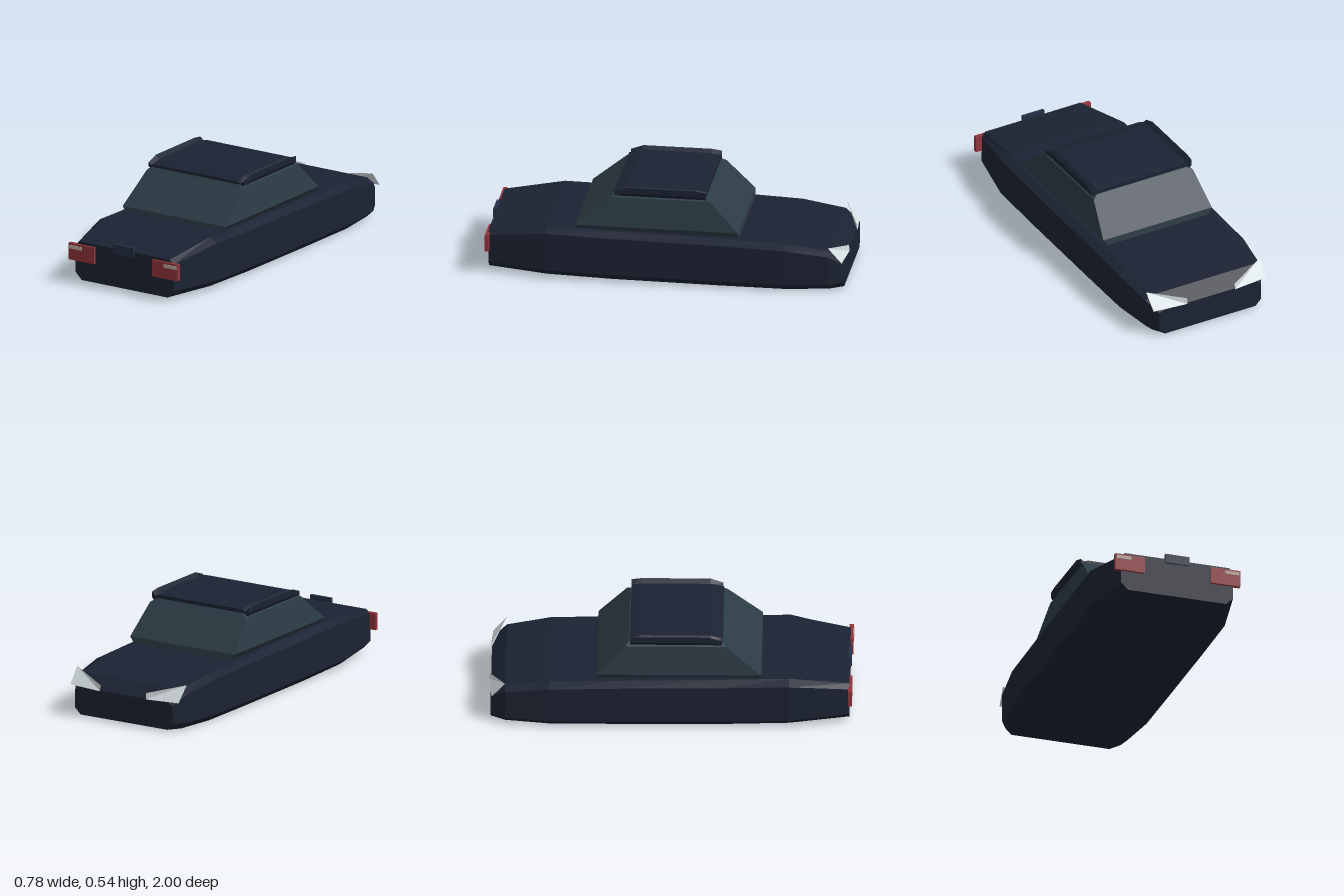
import * as THREE from 'three';

const mat = (color) => new THREE.MeshStandardMaterial({ color, flatShading: true, side: THREE.DoubleSide });

// Skin through closed rings of [x, y, z] points, capped at both ends
function loft(rings) {
  const n = rings[0].length, pos = rings.flat(2), idx = [];
  for (let i = 0; i < rings.length - 1; i++) {
    for (let j = 0; j < n; j++) {
      const a = i * n + j, b = i * n + (j + 1) % n;
      idx.push(a, a + n, b + n, a, b + n, b);
    }
  }
  const last = (rings.length - 1) * n;
  for (let j = 1; j < n - 1; j++) idx.push(0, j, j + 1, last, last + j + 1, last + j);
  const g = new THREE.BufferGeometry();
  g.setAttribute('position', new THREE.Float32BufferAttribute(pos, 3));
  g.setIndex(idx);
  const flat = g.toNonIndexed();
  flat.computeVertexNormals();
  return flat;
}

// Mirrored upright cross-section from its right-hand [x, y] points, bottom to top
const section = (z, half) => [
  ...half.map(([x, y]) => [x, y, z]),
  ...half.slice().reverse().map(([x, y]) => [-x, y, z]),
];

export function createModel() {
  const car = new THREE.Group();
  car.name = 'car';
  const paint = mat(0x1b2232), glass = mat(0x2c3b45), red = mat(0x93343d);
  const white = mat(0xd5dde1), cream = mat(0xb9ab9f), plate = mat(0x253045);
  const add = (name, geometry, material) => {
    const m = new THREE.Mesh(geometry, material);
    m.name = name;
    car.add(m);
    return m;
  };
  const box = (name, material, x0, x1, y0, y1, z0, z1) =>
    add(name, new THREE.BoxGeometry(x1 - x0, y1 - y0, z1 - z0), material)
      .position.set((x0 + x1) / 2, (y0 + y1) / 2, (z0 + z1) / 2);

  // Body: z, then half widths and heights of floor, sill, shoulder and deck
  const body = [
    [0.98, 0.285, 0.02, 0.325, 0.06, 0.325, 0.215, 0.30, 0.24],
    [0.65, 0.345, 0.012, 0.39, 0.05, 0.39, 0.265, 0.34, 0.29],
    [0.28, 0.35, 0.004, 0.39, 0.042, 0.39, 0.255, 0.345, 0.283],
    [-0.30, 0.35, 0, 0.39, 0.038, 0.39, 0.248, 0.345, 0.272],
    [-0.67, 0.35, 0, 0.39, 0.038, 0.39, 0.238, 0.34, 0.26],
    [-0.91, 0.325, 0.006, 0.365, 0.043, 0.365, 0.205, 0.32, 0.228],
    [-0.99, 0.285, 0.01, 0.32, 0.045, 0.32, 0.15, 0.29, 0.165],
  ];
  add('body', loft(body.map(([z, a, b, c, d, e, f, g, h]) =>
    section(z, [[a, b], [c, d], [e, f], [g, h]]))), paint);

  // Cabin glass: y, half width, rear z, front z, from top to bottom
  const cabin = [
    [0.495, 0.285, 0.28, -0.23],
    [0.475, 0.314, 0.30, -0.25],
    [0.31, 0.343, 0.495, -0.405],
    [0.275, 0.315, 0.50, -0.41],
  ];
  add('cabin', loft(cabin.map(([y, x, zr, zf]) =>
    [[x, y, zr], [x, y, zf], [-x, y, zf], [-x, y, zr]])), glass);

  // Roof panel
  const roof = [[0.285, 0.49, 0.505], [0.22, 0.49, 0.525], [-0.17, 0.49, 0.525], [-0.225, 0.49, 0.515]];
  add('roof', loft(roof.map(([z, y0, y1]) =>
    section(z, [[0.285, y0], [0.298, (y0 + y1) / 2], [0.278, y1]]))), paint);

  for (const s of [-1, 1]) {
    const side = s > 0 ? 'right' : 'left';
    const span = (a, b) => (s > 0 ? [a, b] : [-b, -a]);

    // Flared roof rail
    const rails = [[0.28, -0.025], [0.21, 0], [-0.17, 0], [-0.225, -0.008]];
    add(side + 'RoofRail', loft(rails.map(([z, dy]) => {
      const ring = [[0.305, 0.48, z], [0.318, 0.5 + dy / 2, z], [0.318, 0.535 + dy, z], [0.288, 0.505 + dy / 2, z]];
      return s > 0 ? ring : ring.map(([x, y, w]) => [-x, y, w]).reverse();
    })), paint);

    // Tail lamp with pale strip
    box(side + 'TailLamp', red, ...span(0.193, 0.363), 0.13, 0.225, 0.972, 0.995);
    box(side + 'TailLampStrip', cream, ...span(0.273, 0.356), 0.195, 0.214, 0.99, 1);

    // Wedge headlamp, a bent thin sheet
    const p = [[0.36, 0.257, -0.91], [0.355, 0.17, -0.985], [0.15, 0.165, -1], [0.15, 0.2, -0.997]]
      .map(([x, y, z]) => [s * x, y, z]);
    const lamp = new THREE.BufferGeometry();
    const tris = s > 0 ? [0, 1, 2, 0, 2, 3] : [0, 2, 1, 0, 3, 2];
    lamp.setAttribute('position', new THREE.Float32BufferAttribute(tris.flatMap((i) => p[i]), 3));
    lamp.computeVertexNormals();
    add(side + 'Headlamp', lamp, white);
  }

  // Blank rear plate
  box('rearPlate', plate, -0.07, 0.067, 0.215, 0.267, 0.972, 0.99);
  return car;
}
